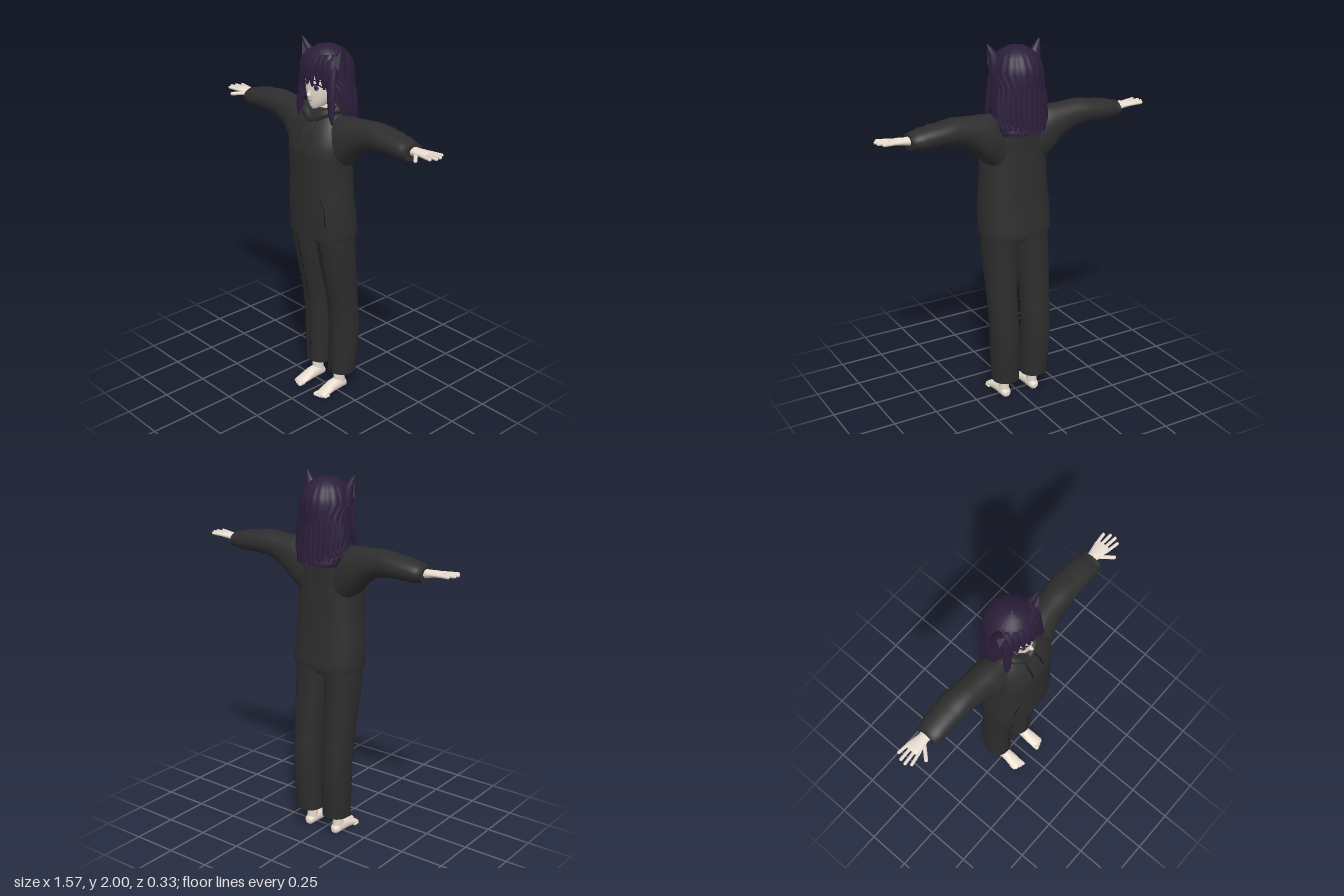
import * as THREE from 'three';

const mat = (name, color, side = THREE.FrontSide) => {
  const m = new THREE.MeshStandardMaterial({ color, side });
  m.name = name;
  return m;
};

// Cross-section rows, ascending: [position, centre a, centre b, radius a, radius b]
const TORSO = [
  [0.975, 0, 0.012, 0.198, 0.145], [1.0, 0, 0.012, 0.205, 0.148], [1.03, 0, 0.013, 0.2, 0.143],
  [1.1, 0, 0.02, 0.204, 0.143], [1.2, 0, 0.026, 0.194, 0.138], [1.32, 0, 0.027, 0.186, 0.133],
  [1.42, 0, 0.034, 0.185, 0.134], [1.48, 0, 0.034, 0.185, 0.132], [1.55, 0, 0.022, 0.175, 0.122],
  [1.6, 0, 0.01, 0.15, 0.1], [1.64, 0, 0, 0.115, 0.08], [1.66, 0, -0.005, 0.08, 0.065]];
const SLEEVE = [
  [0.1, 0.005, 1.475, 0.09, 0.16], [0.17, 0, 1.51, 0.095, 0.135], [0.21, -0.003, 1.53, 0.09, 0.118],
  [0.26, -0.01, 1.558, 0.08, 0.092], [0.32, -0.013, 1.58, 0.077, 0.075], [0.37, -0.015, 1.588, 0.077, 0.07],
  [0.43, -0.02, 1.588, 0.08, 0.062], [0.46, -0.018, 1.584, 0.074, 0.058], [0.49, -0.02, 1.584, 0.078, 0.06],
  [0.52, -0.018, 1.58, 0.071, 0.054], [0.545, -0.018, 1.578, 0.074, 0.056], [0.57, -0.016, 1.575, 0.068, 0.049],
  [0.588, -0.015, 1.574, 0.066, 0.047], [0.594, -0.015, 1.573, 0.06, 0.041], [0.615, -0.015, 1.573, 0.062, 0.042]];
const LEG = [
  [0.12, 0.09, -0.045, 0.075, 0.075], [0.2, 0.092, -0.047, 0.077, 0.078], [0.3, 0.095, -0.05, 0.08, 0.083],
  [0.42, 0.098, -0.053, 0.079, 0.085], [0.55, 0.1, -0.04, 0.08, 0.084], [0.62, 0.1, -0.03, 0.081, 0.086],
  [0.75, 0.098, -0.012, 0.089, 0.096], [0.9, 0.096, 0.008, 0.092, 0.108], [1.0, 0.094, 0.013, 0.092, 0.114]];
const HEAD = [
  [1.666, 0, 0.07, 0.012, 0.014], [1.68, 0, 0.05, 0.035, 0.043], [1.71, 0, 0.025, 0.063, 0.074],
  [1.75, 0, 0.01, 0.083, 0.093], [1.8, 0, 0, 0.095, 0.103], [1.86, 0, -0.01, 0.1, 0.104],
  [1.92, 0, -0.015, 0.08, 0.08], [1.95, 0, -0.015, 0.04, 0.04]];
// Hair rows carry a sixth value: half angle of the opening around the face
const HAIR = [
  [1.56, 0, -0.075, 0.128, 0.09, 1.85], [1.6, 0, -0.055, 0.142, 0.102, 1.5], [1.64, 0, -0.04, 0.147, 0.112, 1.2],
  [1.7, 0, -0.035, 0.147, 0.115, 1.0], [1.76, 0, -0.03, 0.142, 0.122, 0.9], [1.81, 0, -0.025, 0.138, 0.13, 0.7],
  [1.86, 0, -0.025, 0.134, 0.13, 0], [1.9, 0, -0.022, 0.124, 0.122, 0], [1.935, 0, -0.018, 0.105, 0.104, 0],
  [1.96, 0, -0.014, 0.08, 0.08, 0], [1.978, 0, -0.01, 0.048, 0.048, 0], [1.987, 0, -0.01, 0.002, 0.002, 0]];

// Capped loft of superellipse rings along axis k (0 x, 1 y, 2 z)
function loft(rows, k, n = 2, segs = 32) {
  const pos = [], idx = [], A = (k + 2) % 3, B = (k + 1) % 3;
  const put = (t, a, b) => { const p = []; p[k] = t; p[A] = a; p[B] = b; pos.push(...p); };
  const bend = v => Math.sign(v) * Math.abs(v) ** (2 / n);
  const ring = r => {
    for (let j = 0; j < segs; j++) {
      const q = j / segs * Math.PI * 2;
      put(r[0], r[1] + r[3] * bend(Math.cos(q)), r[2] + r[4] * bend(Math.sin(q)));
    }
  };
  rows.forEach(ring);
  for (let i = 0; i < rows.length - 1; i++) for (let j = 0; j < segs; j++) {
    const a = i * segs + j, b = i * segs + (j + 1) % segs;
    idx.push(a, a + segs, b, b, a + segs, b + segs);
  }
  [rows[0], rows.at(-1)].forEach((r, end) => {
    const s = pos.length / 3;
    ring(r);
    put(r[0], r[1], r[2]);
    for (let j = 0; j < segs; j++) {
      const a = s + j, b = s + (j + 1) % segs;
      idx.push(s + segs, ...(end ? [b, a] : [a, b]));
    }
  });
  return build(pos, idx);
}

function build(pos, idx) {
  const g = new THREE.BufferGeometry();
  g.setAttribute('position', new THREE.Float32BufferAttribute(pos, 3));
  g.setIndex(idx);
  g.computeVertexNormals();
  return g;
}

// Front z of a vertical loft at x, y
function frontZ(rows, x, y, n = 2) {
  let i = 0;
  while (i < rows.length - 2 && rows[i + 1][0] < y) i++;
  const t = THREE.MathUtils.clamp((y - rows[i][0]) / (rows[i + 1][0] - rows[i][0]), 0, 1);
  const [, cx, cz, rx, rz] = rows[i].map((v, j) => v + (rows[i + 1][j] - v) * t);
  return cz + rz * Math.max(0, 1 - Math.abs((x - cx) / rx) ** n) ** (1 / n);
}

// Hair shell with an open front, soft ridges and a jagged hem
function hairShell() {
  const pos = [], idx = [], N = 96;
  HAIR.forEach(([y, , cz, rx, rz, open], i) => {
    for (let j = 0; j <= N; j++) {
      const q = open + (Math.PI * 2 - 2 * open) * j / N;
      const f = 1 + (i < 9 ? 0.015 * Math.sin(j * 1.3) : 0);
      pos.push(Math.sin(q) * rx * f, y + (i ? 0 : [-0.02, 0, 0.015, 0.005, -0.01][j % 5]), cz + Math.cos(q) * rz * f);
      if (i && j < N) {
        const a = (i - 1) * (N + 1) + j, b = a + N + 1;
        idx.push(a, a + 1, b, a + 1, b + 1, b);
      }
    }
  });
  return build(pos, idx);
}

// Tapered lock lying over the hair and face
function lock(x0, x1, top, tip, w) {
  const rows = [];
  for (let i = 0; i <= 8; i++) {
    const t = i / 8, y = tip + (top - tip) * t, x = x1 + (x0 - x1) * t * t;
    const z = Math.max(frontZ(HAIR, x, y), frontZ(HEAD, x, y)) + 0.002;
    rows.push([y, x, z, 0.001 + w * Math.sin(Math.PI * (0.04 + t * 0.7)), 0.007]);
  }
  return loft(rows, 1, 2, 10);
}

// Rounded limb between two points
function limb(a, b, r) {
  const p = new THREE.Vector3(...a), d = new THREE.Vector3(...b).sub(p);
  const g = new THREE.CapsuleGeometry(r, d.length(), 5, 10);
  g.applyQuaternion(new THREE.Quaternion().setFromUnitVectors(new THREE.Vector3(0, 1, 0), d.clone().normalize()));
  const c = p.addScaledVector(d, 0.5);
  return g.translate(c.x, c.y, c.z);
}

// Thin cord following the front of a loft
const cord = (rows, pts, r, n, lift = 0) => new THREE.TubeGeometry(new THREE.CatmullRomCurve3(
  pts.map(([x, y]) => new THREE.Vector3(x, y, frontZ(rows, x, y, n) + lift))), 40, r, 6);

// Thin oval plate shaped to the face
function facePlate(x, y, rx, ry, lift) {
  const g = new THREE.CircleGeometry(1, 24).scale(rx, ry, 1).translate(x, y, 0), p = g.attributes.position;
  for (let i = 0; i < p.count; i++) p.setZ(i, frontZ(HEAD, p.getX(i), p.getY(i)) + lift);
  g.computeVertexNormals();
  return g;
}

function mirror(geo) {
  const g = geo.clone().scale(-1, 1, 1), a = g.index.array;
  for (let i = 0; i < a.length; i += 3) [a[i], a[i + 1]] = [a[i + 1], a[i]];
  return g;
}

export function createModel() {
  const model = new THREE.Group();
  const skin = mat('skin', 0xeee2d4), cloth = mat('hoodie cloth', 0x2d2d2d), denim = mat('trouser cloth', 0x2c2c2d);
  const hair = mat('hair', 0x2b1e3a, THREE.DoubleSide), seam = mat('seam', 0x161616);
  const white = mat('eye white', 0xf2eeee), iris = mat('iris', 0x4a4468), dark = mat('lash', 0x1c1522);
  const lip = mat('lip', 0xb98880), inner = mat('inner ear', 0x4b4450, THREE.DoubleSide);
  const add = (name, geo, m) => {
    const mesh = new THREE.Mesh(geo, m);
    mesh.name = name;
    model.add(mesh);
  };
  const pair = (name, geo, m) => { add(name + 'Left', geo, m); add(name + 'Right', mirror(geo), m); };

  // Hoodie
  add('hoodieBody', loft(TORSO, 1, 2.25, 48), cloth);
  pair('sleeve', loft(SLEEVE, 0, 2.1), cloth);
  const rim = [[0, 1.612, 0.09], [0.06, 1.645, 0.07], [0.095, 1.665, 0.02], [0.1, 1.67, -0.045], [0, 1.665, -0.1],
    [-0.1, 1.67, -0.045], [-0.095, 1.665, 0.02], [-0.06, 1.645, 0.07]].map(p => new THREE.Vector3(...p));
  add('hoodRim', new THREE.TubeGeometry(new THREE.CatmullRomCurve3(rim, true), 64, 0.024, 12, true), cloth);
  add('hoodBag', new THREE.SphereGeometry(1, 24, 16).scale(0.115, 0.08, 0.055).translate(0, 1.6, -0.075), cloth);
  add('drawstringLeft', cord(TORSO, [[0.035, 1.615], [0.042, 1.57], [0.046, 1.525]], 0.004, 2.25, 0.003), seam);
  add('drawstringRight', cord(TORSO, [[-0.03, 1.615], [-0.038, 1.57], [-0.036, 1.515]], 0.004, 2.25, 0.003), seam);
  pair('pocketOpening', cord(TORSO, [[0.115, 1.22], [0.135, 1.16], [0.142, 1.1], [0.14, 1.06]], 0.0025, 2.25), seam);

  // Trousers
  pair('trouserLeg', loft(LEG, 1, 2.2), denim);
  pair('trouserSeam', cord(LEG, [0.13, 0.3, 0.42, 0.55, 0.62, 0.75, 0.9, 0.98].map(y => [0.088, y]), 0.002, 2.2), seam);
  add('trouserSeat', loft([[0.93, 0, 0.01, 0.12, 0.08], [1.02, 0, 0.012, 0.17, 0.11]], 1), denim);

  // Feet
  pair('ankle', loft([[0.03, 0.09, -0.03, 0.03, 0.036], [0.09, 0.09, -0.025, 0.027, 0.033], [0.2, 0.09, -0.035, 0.036, 0.042]], 1), skin);
  pair('foot', loft([[-0.072, 0.024, 0.09, 0.012, 0.014], [-0.06, 0.028, 0.09, 0.026, 0.027], [-0.02, 0.038, 0.09, 0.038, 0.032],
    [0.03, 0.034, 0.09, 0.034, 0.034], [0.07, 0.024, 0.091, 0.024, 0.037], [0.11, 0.014, 0.092, 0.014, 0.036],
    [0.125, 0.011, 0.092, 0.009, 0.03]], 2), skin);
  for (let i = 0; i < 5; i++) {
    const r = i ? 0.008 : 0.012, x = 0.066 + i * 0.0145, z = 0.132 - i * i * 0.0014;
    pair('toe' + (i + 1), limb([x, r, z - 0.025], [x, r, z], r), skin);
  }

  // Hands
  pair('palm', loft([[0.58, -0.02, 1.576, 0.034, 0.026], [0.63, -0.02, 1.58, 0.029, 0.02], [0.66, -0.018, 1.584, 0.036, 0.017],
    [0.7, -0.02, 1.587, 0.041, 0.013], [0.715, -0.02, 1.588, 0.036, 0.008]], 0), skin);
  [[0.016, 0.03, 0.762], [-0.007, 0.003, 0.779], [-0.03, -0.026, 0.776], [-0.05, -0.056, 0.758]].forEach(([z0, z1, x], i) =>
    pair('finger' + (i + 1), limb([0.69, 1.587, z0], [x, 1.59, z1], 0.0085), skin));
  pair('thumb', limb([0.645, 1.578, 0], [0.7, 1.574, 0.062], 0.01), skin);

  // Head and face
  add('neck', loft([[1.58, 0, -0.01, 0.055, 0.055], [1.63, 0, -0.015, 0.043, 0.045], [1.74, 0, -0.02, 0.042, 0.045]], 1), skin);
  add('head', loft(HEAD, 1, 2, 40), skin);
  add('nose', new THREE.ConeGeometry(0.011, 0.035, 12).scale(1, 1, 1.5).rotateX(-0.2).translate(0, 1.757, 0.103), skin);
  pair('eyeWhite', facePlate(0.042, 1.783, 0.021, 0.014, 0.003), white);
  pair('iris', facePlate(0.041, 1.784, 0.012, 0.0145, 0.005), iris);
  pair('pupil', facePlate(0.041, 1.785, 0.005, 0.008, 0.007), dark);
  pair('lash', cord(HEAD, [[0.018, 1.79], [0.03, 1.8], [0.048, 1.801], [0.066, 1.788]], 0.0035, 2, 0.003), dark);
  pair('brow', cord(HEAD, [[0.02, 1.818], [0.042, 1.824], [0.064, 1.816]], 0.002, 2, 0.001), dark);
  add('mouth', facePlate(0, 1.712, 0.014, 0.003, 0.003), lip);

  // Hair
  add('hairShell', hairShell(), hair);
  [[-0.08, -0.095, 1.73, 0.022], [-0.055, -0.075, 1.79, 0.024], [-0.025, -0.045, 1.825, 0.024], [0, -0.012, 1.8, 0.024],
    [0.02, 0.018, 1.79, 0.024], [0.045, 0.052, 1.8, 0.025], [0.065, 0.08, 1.78, 0.024], [0.085, 0.098, 1.72, 0.022]]
    .forEach(([x0, x1, tip, w], i) => add('fringeLock' + (i + 1), lock(x0, x1, 1.95, tip, w), hair));
  pair('sideLock', loft([[1.605, 0.128, 0.07, 0.004, 0.004], [1.65, 0.122, 0.068, 0.02, 0.012], [1.72, 0.112, 0.058, 0.026, 0.018],
    [1.8, 0.108, 0.052, 0.025, 0.022], [1.88, 0.1, 0.035, 0.02, 0.02]], 1, 2, 12), hair);
  for (let i = 0; i < 13; i++) {
    const q = Math.PI * (0.6 + 0.8 * i / 12), x = Math.sin(q), z = Math.cos(q), low = 1.54 + 0.012 * (i * 3 % 4);
    add('backLock' + (i + 1), loft([[low, x * 0.122, -0.07 + z * 0.094, 0.002, 0.002], [1.61, x * 0.134, -0.055 + z * 0.1, 0.018, 0.008],
      [1.72, x * 0.134, -0.037 + z * 0.112, 0.02, 0.008], [1.83, x * 0.125, -0.027 + z * 0.12, 0.006, 0.005]], 1, 2, 10), hair);
  }

  // Cat ears
  pair('catEar', loft([[1.845, 0.11, 0, 0.036, 0.03], [1.9, 0.112, 0.002, 0.037, 0.029], [1.95, 0.123, 0.006, 0.027, 0.021],
    [1.98, 0.14, 0.013, 0.013, 0.01], [2.0, 0.152, 0.018, 0.002, 0.002]], 1, 2, 20), hair);
  pair('innerEar', build([0.088, 1.915, 0.033, 0.139, 1.88, 0.034, 0.146, 1.982, 0.027], [0, 1, 2]), inner);
  return model;
}
